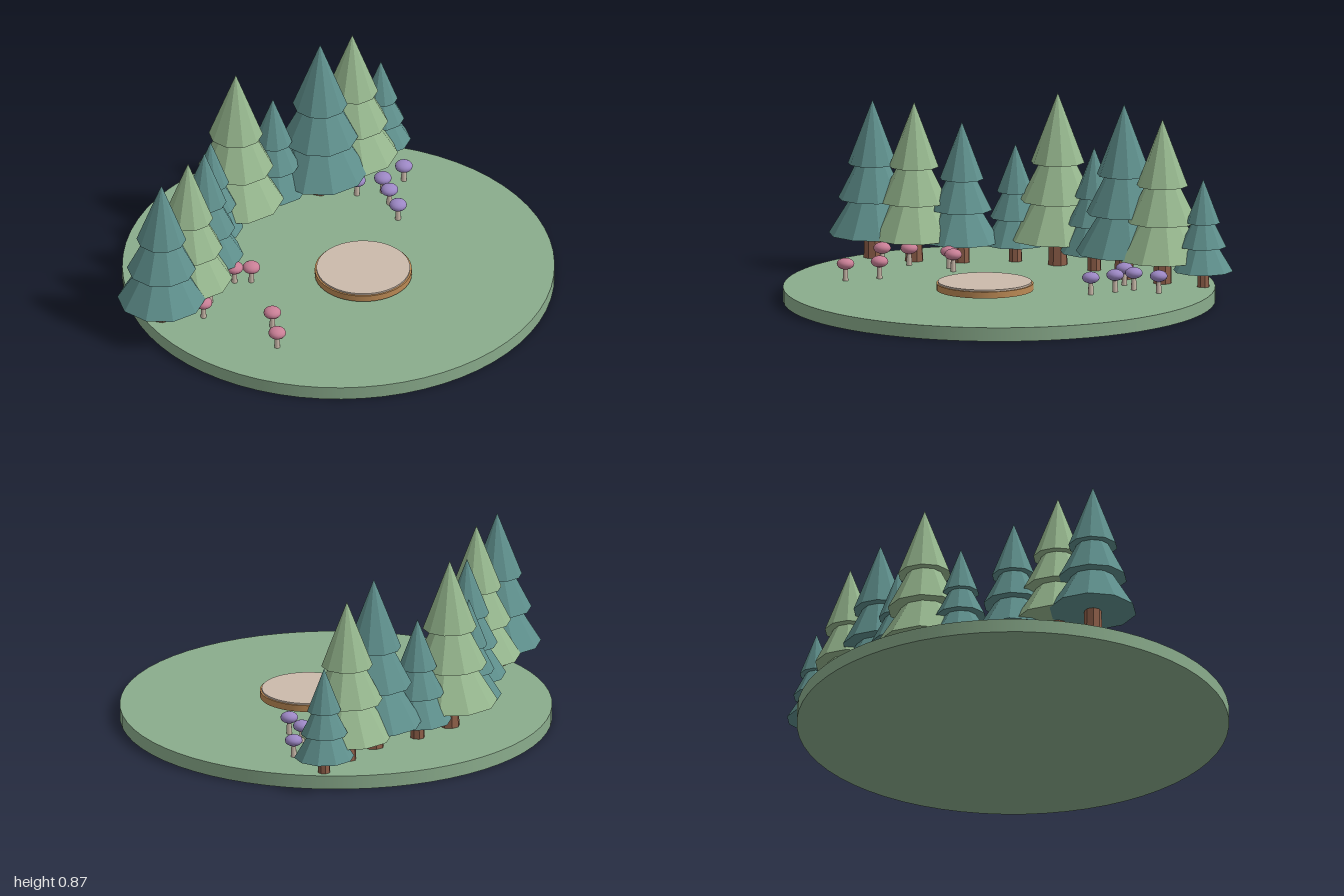
import * as THREE from 'three';

const mat = (name, color, flatShading = false) => {
  const m = new THREE.MeshStandardMaterial({ color, flatShading });
  m.name = name;
  return m;
};

const GROUND = 0.063;
const CX = 0.018;

export function createModel() {
  const mats = {
    grass: mat('grass green', 0x8aac8c),
    teal: mat('teal needles', 0x5f908d, true),
    sage: mat('sage needles', 0x97b88f, true),
    bark: mat('bark brown', 0x8e5f49, true),
    rim: mat('wood rim', 0xbc8a55),
    cream: mat('pale wood', 0xcbbaab),
    pink: mat('pink cap', 0xc97f96),
    purple: mat('purple cap', 0x9c87c4),
  };
  const model = new THREE.Group();
  model.name = 'forestClearing';

  // Cylinder standing with its base at the given height
  const column = (name, rTop, rBottom, y0, y1, sides, material) => {
    const mesh = new THREE.Mesh(
      new THREE.CylinderGeometry(rTop, rBottom, y1 - y0, sides), material);
    mesh.name = name;
    mesh.position.y = (y0 + y1) / 2;
    return mesh;
  };

  // Round ground
  const ground = column('ground', 0.98, 0.98, 0, GROUND, 64, mats.grass);
  ground.position.x = CX;
  model.add(ground);

  // Round wooden platform
  const platform = new THREE.Group();
  platform.name = 'platform';
  platform.position.set(CX, 0, 0.144);
  platform.add(
    column('platformRim', 0.22, 0.22, 0.075, 0.105, 48, mats.rim),
    column('platformTop', 0.212, 0.212, 0.1, 0.113, 48, mats.cream));
  model.add(platform);

  // Tiered trees: all proportions follow the height h
  const tiers = [[0.15, 0.275, 0.45], [0.375, 0.215, 0.425], [0.595, 0.155, 0.405]];
  const addTree = (x, z, apex, needles) => {
    const h = apex - GROUND;
    const tree = new THREE.Group();
    tree.name = 'tree';
    tree.position.set(x, GROUND, z);
    tree.add(column('trunk', 0.05 * h, 0.058 * h, 0, 0.28 * h, 8, mats.bark));
    for (const [base, radius, height] of tiers) {
      const cone = new THREE.Mesh(
        new THREE.ConeGeometry(radius * h, height * h, 10), needles);
      cone.name = 'foliageTier';
      cone.position.y = (base + height / 2) * h;
      tree.add(cone);
    }
    model.add(tree);
  };
  [
    [-0.81, -0.366, 0.79, 'teal'],
    [-0.604, -0.376, 0.795, 'sage'],
    [-0.397, -0.446, 0.71, 'teal'],
    [-0.19, -0.575, 0.604, 'teal'],
    [0.016, -0.593, 0.855, 'sage'],
    [0.225, -0.545, 0.63, 'teal'],
    [0.432, -0.436, 0.866, 'teal'],
    [0.638, -0.414, 0.818, 'sage'],
    [0.845, -0.414, 0.56, 'teal'],
  ].forEach(([x, z, apex, colour]) => addTree(x, z, apex, mats[colour]));

  // Mushrooms with flattened round caps
  const capGeometry = new THREE.SphereGeometry(0.04, 16, 10).scale(1, 0.65, 1);
  const addMushroom = (x, z, capMaterial) => {
    const mushroom = new THREE.Group();
    mushroom.name = 'mushroom';
    mushroom.position.set(x, 0, z);
    const cap = new THREE.Mesh(capGeometry, capMaterial);
    cap.name = 'mushroomCap';
    cap.position.y = 0.141;
    mushroom.add(column('mushroomStem', 0.01, 0.013, GROUND, 0.135, 10, mats.cream), cap);
    model.add(mushroom);
  };
  [[-0.666, 0.19], [-0.553, 0.072], [-0.687, -0.22], [-0.575, -0.27],
    [-0.38, -0.285], [-0.33, -0.227]].forEach(([x, z]) => addMushroom(x, z, mats.pink));
  [[0.474, -0.018], [0.544, -0.124], [0.598, -0.205], [0.732, -0.19],
    [0.51, -0.285]].forEach(([x, z]) => addMushroom(x, z, mats.purple));

  return model;
}
